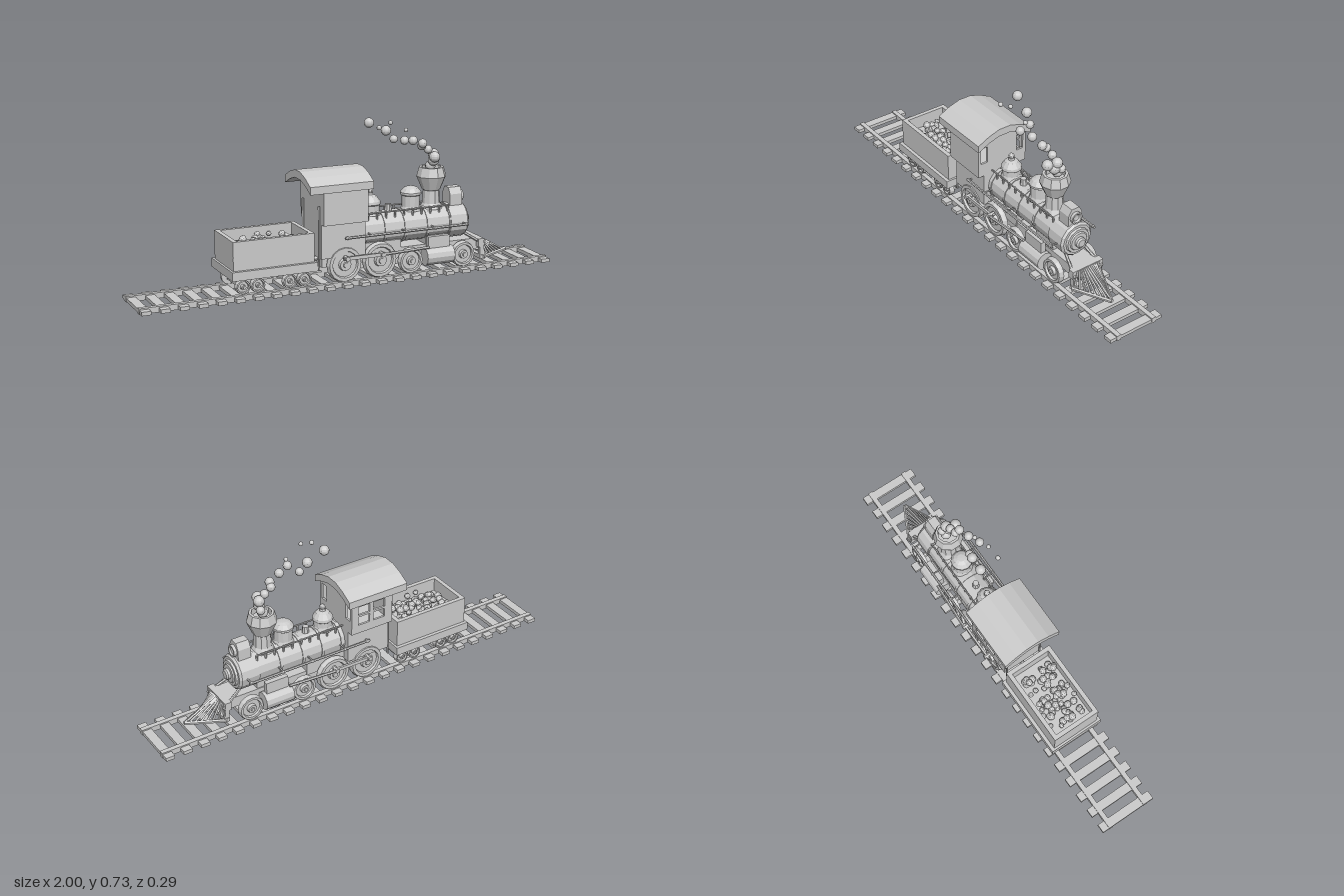
import * as THREE from 'three';

const mat = new THREE.MeshStandardMaterial({ color: 0xcccccc, flatShading: true, side: THREE.DoubleSide });
const V = (x, y, z) => new THREE.Vector3(x, y, z);

function add(parent, name, geo, x = 0, y = 0, z = 0) {
  const m = new THREE.Mesh(geo, mat);
  m.name = name;
  m.position.set(x, y, z);
  parent.add(m);
  return m;
}
// Box given by its limits
const box = (p, name, x0, x1, y0, y1, z0, z1) =>
  add(p, name, new THREE.BoxGeometry(x1 - x0, y1 - y0, z1 - z0), (x0 + x1) / 2, (y0 + y1) / 2, (z0 + z1) / 2);
// Round bar between two points
function rod(p, name, a, b, r, sides = 6) {
  const m = add(p, name, new THREE.CylinderGeometry(r, r, a.distanceTo(b), sides));
  m.position.copy(a).add(b).multiplyScalar(0.5);
  m.quaternion.setFromUnitVectors(V(0, 1, 0), b.clone().sub(a).normalize());
  return m;
}
// Turned shape from [radius, height] pairs
const lathe = (pts, n) => new THREE.LatheGeometry(pts.map(q => new THREE.Vector2(q[0], q[1])), n);
function group(parent, name) {
  const g = new THREE.Group();
  g.name = name;
  parent.add(g);
  return g;
}
function wheel(p, name, x, y, z, r, sides = 16) {
  const w = 0.014, s = Math.sign(z);
  const m = add(p, name, lathe([[0, -w], [r, -w], [r, -w * 0.4], [r * 0.93, w * 0.7], [r * 0.75, w * 0.7],
    [r * 0.7, 0], [r * 0.36, 0], [r * 0.32, w], [r * 0.16, w], [r * 0.14, w * 1.4], [0, w * 1.4]], sides), x, y, z);
  m.rotation.x = s * Math.PI / 2;
}
// Wall panel in the xy plane with rectangular window holes
function wall(p, name, x0, x1, y0, y1, holes, t) {
  const rect = (a, b, c, d, T) => new T([[a, c], [b, c], [b, d], [a, d]].map(q => new THREE.Vector2(...q)));
  const s = rect(x0, x1, y0, y1, THREE.Shape);
  for (const h of holes) s.holes.push(rect(...h, THREE.Path));
  return add(p, name, new THREE.ExtrudeGeometry(s, { depth: t, bevelEnabled: false }));
}

function track(root) {
  const g = group(root, 'track');
  for (let i = 0; i < 24; i++) {
    const x = -0.978 + i * 0.085;
    box(g, 'tie', x - 0.021, x + 0.021, 0.003, 0.02, -0.139, 0.139);
  }
  for (const s of [-1, 1]) box(g, 'rail', -1, 1, 0, 0.026, s * 0.095 - 0.011, s * 0.095 + 0.011);
}

function tender(root) {
  const g = group(root, 'tender');
  box(g, 'tenderBase', -0.59, -0.19, 0.1, 0.14, -0.133, 0.133);
  box(g, 'tenderFloor', -0.58, -0.2, 0.14, 0.205, -0.117, 0.117);
  for (const s of [-1, 1]) {
    box(g, 'tenderSide', -0.58, -0.2, 0.2, 0.27, s * 0.108 - 0.01, s * 0.108 + 0.01);
    const x = -0.39 + s * 0.18;
    box(g, 'tenderEnd', x - 0.01, x + 0.01, 0.2, 0.27, -0.1, 0.1);
  }
  // Coal heap
  let seed = 7;
  const rnd = () => (seed = (seed * 16807) % 2147483647) / 2147483647;
  for (let i = 0; i < 75; i++)
    add(g, 'coal', new THREE.IcosahedronGeometry(0.011 + rnd() * 0.007, 1), -0.53 + rnd() * 0.28, 0.205 + rnd() * 0.035, (rnd() - 0.5) * 0.17);
  // Bogies
  for (const x of [-0.495, -0.275]) {
    box(g, 'bogieFrame', x - 0.05, x + 0.05, 0.055, 0.1, -0.06, 0.06);
    for (const d of [-0.035, 0.035]) {
      rod(g, 'tenderAxle', V(x + d, 0.06, -0.1), V(x + d, 0.06, 0.1), 0.008);
      for (const s of [-1, 1]) wheel(g, 'tenderWheel', x + d, 0.06, s * 0.095, 0.034, 12);
    }
  }
  rod(g, 'coupling', V(-0.2, 0.12, 0), V(-0.14, 0.12, 0), 0.012);
}

function cab(root) {
  const g = group(root, 'cab');
  box(g, 'cabLower', -0.16, 0.055, 0.14, 0.3, -0.1, 0.1);
  box(g, 'cabFloor', -0.16, 0.055, 0.298, 0.308, -0.13, 0.13);
  const panes = [];
  for (const x of [-0.12, -0.04]) for (const y of [0.34, 0.392]) panes.push([x, x + 0.06, y, y + 0.042]);
  wall(g, 'leftWall', -0.16, 0.055, 0.3, 0.465, [], 0.01).position.z = 0.12;
  wall(g, 'rightWall', -0.16, 0.055, 0.3, 0.465, panes, 0.01).position.z = -0.13;
  const front = wall(g, 'frontWall', -0.13, 0.13, 0.3, 0.485, [[-0.115, -0.08, 0.365, 0.445], [0.08, 0.115, 0.365, 0.445]], 0.01);
  front.rotation.y = Math.PI / 2;
  front.position.x = 0.045;
  box(g, 'rearWall', -0.16, -0.15, 0.3, 0.485, -0.13, 0.13);
  // Arched roof
  const arc = [[-0.143, 0.482], [-0.085, 0.511], [-0.03, 0.528], [0.03, 0.528], [0.085, 0.511], [0.143, 0.482]];
  const pts = [...arc, ...arc.map(q => [q[0], q[1] - 0.035]).reverse()].map(q => new THREE.Vector2(...q));
  const roof = add(g, 'roof', new THREE.ExtrudeGeometry(new THREE.Shape(pts), { depth: 0.305, bevelEnabled: false }), -0.23);
  roof.rotation.y = Math.PI / 2;
  // Rear grab rails
  for (const s of [-1, 1]) rod(g, 'grabRail', V(-0.167, 0.1, s * 0.09), V(-0.167, 0.38, s * 0.09), 0.005);
}

function boiler(root) {
  const g = group(root, 'boiler');
  const shell = add(g, 'boilerShell', lathe([[0, 0.05], [0.076, 0.05], [0.076, 0.5], [0.083, 0.5], [0.083, 0.585],
    [0.074, 0.595], [0.062, 0.595], [0.058, 0.604], [0.046, 0.604], [0.042, 0.61], [0.025, 0.61],
    [0.025, 0.622], [0.018, 0.628], [0, 0.628]], 14), 0, 0.23, 0);
  shell.rotation.z = -Math.PI / 2;
  for (const x of [0.07, 0.17, 0.27, 0.385, 0.5]) {
    const b = add(g, 'boilerBand', new THREE.CylinderGeometry(0.08, 0.08, 0.012, 14), x, 0.23, 0);
    b.rotation.z = -Math.PI / 2;
  }
  // Smokestack
  add(g, 'smokestack', lathe([[0.055, 0.295], [0.042, 0.32], [0.038, 0.38], [0.044, 0.385], [0.069, 0.445],
    [0.057, 0.488], [0.045, 0.488], [0.045, 0.46], [0, 0.46]], 10), 0.435);
  // Domes and bell
  add(g, 'sandDome', lathe([[0.05, 0.295], [0.042, 0.315], [0.042, 0.365], [0.049, 0.37], [0.049, 0.38],
    [0.035, 0.398], [0.018, 0.405], [0, 0.406]], 12), 0.33);
  add(g, 'steamDome', lathe([[0.05, 0.295], [0.042, 0.315], [0.042, 0.34], [0.048, 0.345], [0.046, 0.358],
    [0.03, 0.38], [0.014, 0.387], [0.012, 0.396], [0, 0.396]], 12), 0.125);
  add(g, 'whistle', new THREE.SphereGeometry(0.014, 8, 6), 0.125, 0.405);
  add(g, 'safetyValve', new THREE.CylinderGeometry(0.014, 0.018, 0.04, 8), 0.215, 0.315);
  // Headlamp
  const s = new THREE.Shape();
  s.moveTo(-0.037, 0.3).lineTo(0.037, 0.3).lineTo(0.037, 0.355).lineTo(0.02, 0.385).lineTo(-0.02, 0.385).lineTo(-0.037, 0.355);
  add(g, 'headlamp', new THREE.ExtrudeGeometry(s, { depth: 0.062, bevelEnabled: false }), 0.515).rotation.y = Math.PI / 2;
  const lens = add(g, 'headlampLens', lathe([[0.028, 0], [0.028, 0.016], [0.021, 0.016], [0.015, 0.01], [0, 0.008]], 12), 0.575, 0.34, 0);
  lens.rotation.z = -Math.PI / 2;
  // Handrails with posts
  for (const z of [-1, 1]) {
    rod(g, 'upperHandrail', V(0.055, 0.312, z * 0.055), V(0.5, 0.312, z * 0.055), 0.004);
    for (let x = 0.09; x < 0.5; x += 0.045) rod(g, 'railPost', V(x, 0.28, z * 0.05), V(x, 0.315, z * 0.055), 0.005);
    rod(g, 'sidePipe', V(-0.05, 0.228, z * 0.117), V(0.57, 0.228, z * 0.117), 0.006);
    for (const x of [-0.04, 0.08, 0.25, 0.4, 0.56]) {
      rod(g, 'pipeBracket', V(x, 0.228, z * 0.07), V(x, 0.228, z * 0.117), 0.004);
      add(g, 'pipeKnob', new THREE.SphereGeometry(0.008, 8, 6), x, 0.228, z * 0.117);
    }
  }
}

function runningGear(root) {
  const g = group(root, 'runningGear');
  box(g, 'chassis', -0.14, 0.67, 0.09, 0.14, -0.06, 0.06);
  box(g, 'firebox', -0.1, 0.25, 0.12, 0.18, -0.065, 0.065);
  box(g, 'saddle', 0.38, 0.5, 0.13, 0.19, -0.055, 0.055);
  const wheels = [[-0.045, 0.104, 0.083], [0.13, 0.104, 0.083], [0.285, 0.083, 0.06], [0.555, 0.083, 0.06]];
  for (const [x, y, r] of wheels) rod(g, 'axle', V(x, y, -0.095), V(x, y, 0.095), 0.012, 8);
  for (const s of [-1, 1]) {
    for (const [x, y, r] of wheels) wheel(g, r > 0.07 ? 'drivingWheel' : 'smallWheel', x, y, s * 0.095, r);
    // Cylinder, valve chest and rods
    rod(g, 'cylinder', V(0.355, 0.092, s * 0.092), V(0.495, 0.092, s * 0.092), 0.042, 12);
    box(g, 'valveChest', 0.37, 0.48, 0.125, 0.185, s * 0.092 - 0.012, s * 0.092 + 0.012);
    box(g, 'couplingRod', -0.06, 0.145, 0.128, 0.144, s * 0.12 - 0.005, s * 0.12 + 0.005);
    rod(g, 'connectingRod', V(0.13, 0.136, s * 0.127), V(0.37, 0.14, s * 0.115), 0.007);
    for (const x of [-0.045, 0.13]) rod(g, 'crankPin', V(x, 0.136, s * 0.1), V(x, 0.136, s * 0.134), 0.011, 8);
    // Front braces
    rod(g, 'frontBrace', V(0.56, 0.185, s * 0.045), V(0.68, 0.11, s * 0.075), 0.007);
  }
}

function cowcatcher(root) {
  const g = group(root, 'cowcatcher');
  box(g, 'bufferBeam', 0.645, 0.675, 0.1, 0.14, -0.082, 0.082);
  const tip = V(0.835, 0.052, 0);
  for (const s of [-1, 1]) {
    const corner = V(0.67, 0.052, s * 0.082);
    rod(g, 'bottomRail', corner, tip, 0.009);
    for (let i = 0; i < 7; i++) {
      const t = (i + 0.4) / 7;
      rod(g, 'slat', V(0.675, 0.135, s * 0.062 * (1 - t)), corner.clone().lerp(tip, t), 0.0055, 4);
    }
  }
  box(g, 'rearRail', 0.655, 0.68, 0.043, 0.061, -0.082, 0.082);
  for (const s of [-1, 1]) box(g, 'railPost', 0.655, 0.675, 0.05, 0.11, s * 0.07 - 0.008, s * 0.07 + 0.008);
}

function smoke(root) {
  const g = group(root, 'smoke');
  const puffs = [[0.13, 0.71, -0.026, 0.023], [0.195, 0.72, 0.06, 0.01], [0.135, 0.703, 0.068, 0.011],
    [0.28, 0.677, 0.045, 0.01], [0.21, 0.67, -0.016, 0.023], [0.245, 0.63, -0.007, 0.019],
    [0.265, 0.634, 0.06, 0.02], [0.32, 0.625, 0.038, 0.021], [0.375, 0.605, 0.026, 0.021],
    [0.38, 0.59, 0.008, 0.02], [0.415, 0.57, 0.003, 0.02], [0.445, 0.545, 0, 0.025],
    [0.43, 0.54, 0.04, 0.025], [0.44, 0.518, 0.01, 0.026], [0.45, 0.51, -0.02, 0.02], [0.435, 0.49, -0.01, 0.024]];
  for (const [x, y, z, r] of puffs) add(g, 'puff', new THREE.SphereGeometry(r, 12, 9), x, y, z);
}

export function createModel() {
  const root = new THREE.Group();
  root.name = 'steamTrain';
  for (const part of [track, tender, cab, boiler, runningGear, cowcatcher, smoke]) part(root);
  return root;
}
